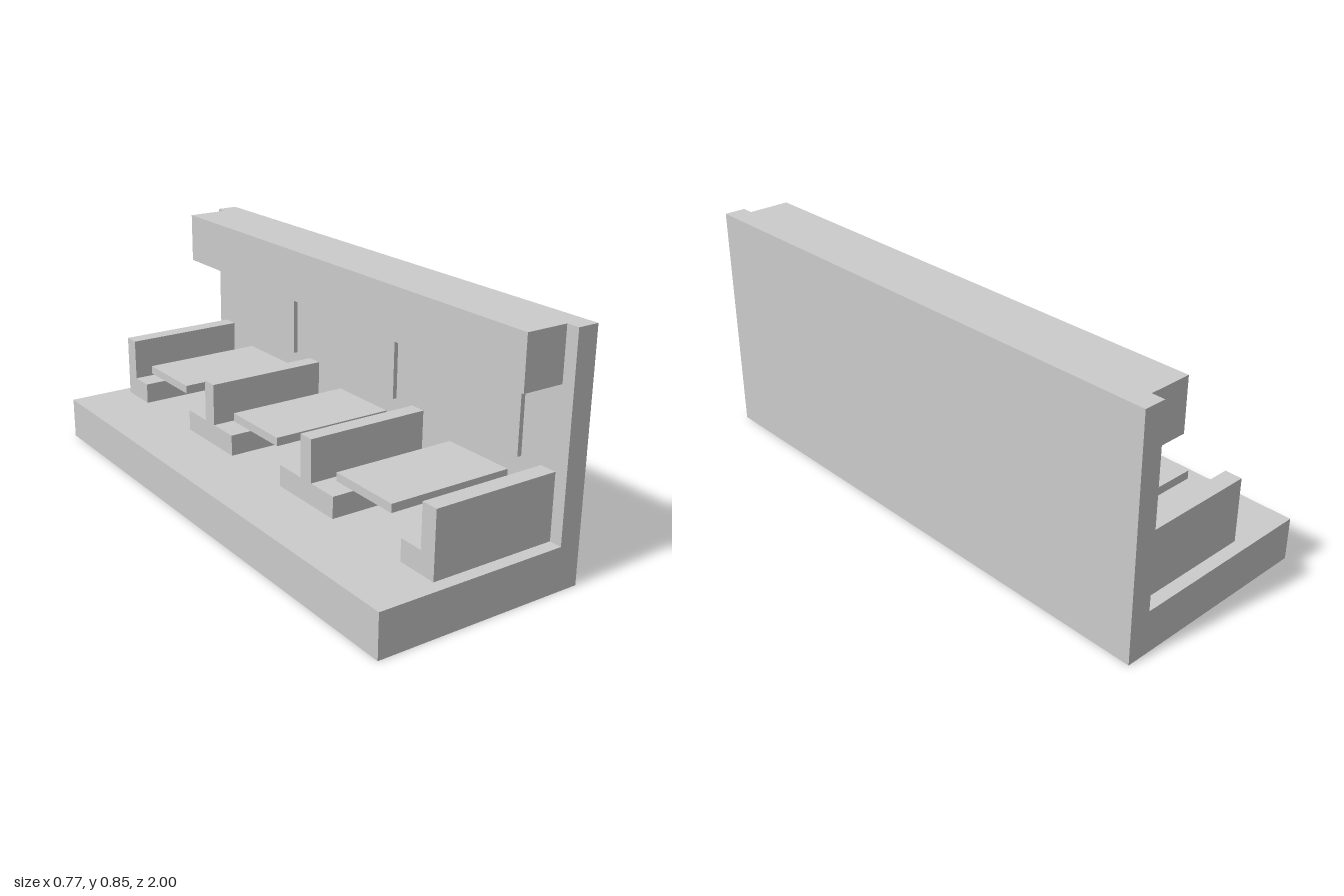
import * as THREE from 'three';

const material = new THREE.MeshStandardMaterial({ color: 0xcccccc, flatShading: true });

// Box given by its [min, max] range on each axis
function block(name, [x0, x1], [y0, y1], [z0, z1]) {
  const geometry = new THREE.BoxGeometry(x1 - x0, y1 - y0, z1 - z0);
  const mesh = new THREE.Mesh(geometry, material);
  mesh.position.set((x0 + x1) / 2, (y0 + y1) / 2, (z0 + z1) / 2);
  mesh.name = name;
  return mesh;
}

const FLOOR = 0.154, WALL = 0.307, AISLE = -0.154, TOP = 0.847;
const BENCH_X = [AISLE, WALL];

// Seat block with an upright backrest standing on it
function bench(name, seatZ, backZ) {
  const group = new THREE.Group();
  group.name = name;
  group.add(
    block('seat', BENCH_X, [FLOOR, 0.231], seatZ),
    block('backrest', BENCH_X, [0.231, 0.385], backZ)
  );
  return group;
}

export function createModel() {
  const model = new THREE.Group();
  model.name = 'seatingBooths';

  // Floor, side wall and overhead locker
  model.add(
    block('floor', [-0.385, 0.385], [0, FLOOR], [-1, 1]),
    block('wall', [WALL, 0.385], [FLOOR, TOP], [-1, 1]),
    block('overheadLocker', [0.153, WALL], [0.663, TOP], [-0.954, 0.954])
  );

  // Single benches at the ends, facing inwards
  model.add(
    bench('endBenchFront', [0.803, 0.954], [0.893, 0.954]),
    bench('endBenchBack', [-0.954, -0.803], [-0.954, -0.893])
  );

  // Back-to-back benches between the booths
  for (const z of [-0.308, 0.308]) {
    model.add(bench('doubleBench', [z - 0.152, z + 0.152], [z - 0.03, z + 0.03]));
  }

  // One table and one window panel per booth
  for (const z of [-0.616, 0, 0.616]) {
    model.add(
      block('table', BENCH_X, [0.292, 0.322], [z - 0.138, z + 0.138]),
      block('window', [0.291, WALL], [0.385, 0.61], [z - 0.192, z + 0.192])
    );
  }

  return model;
}
